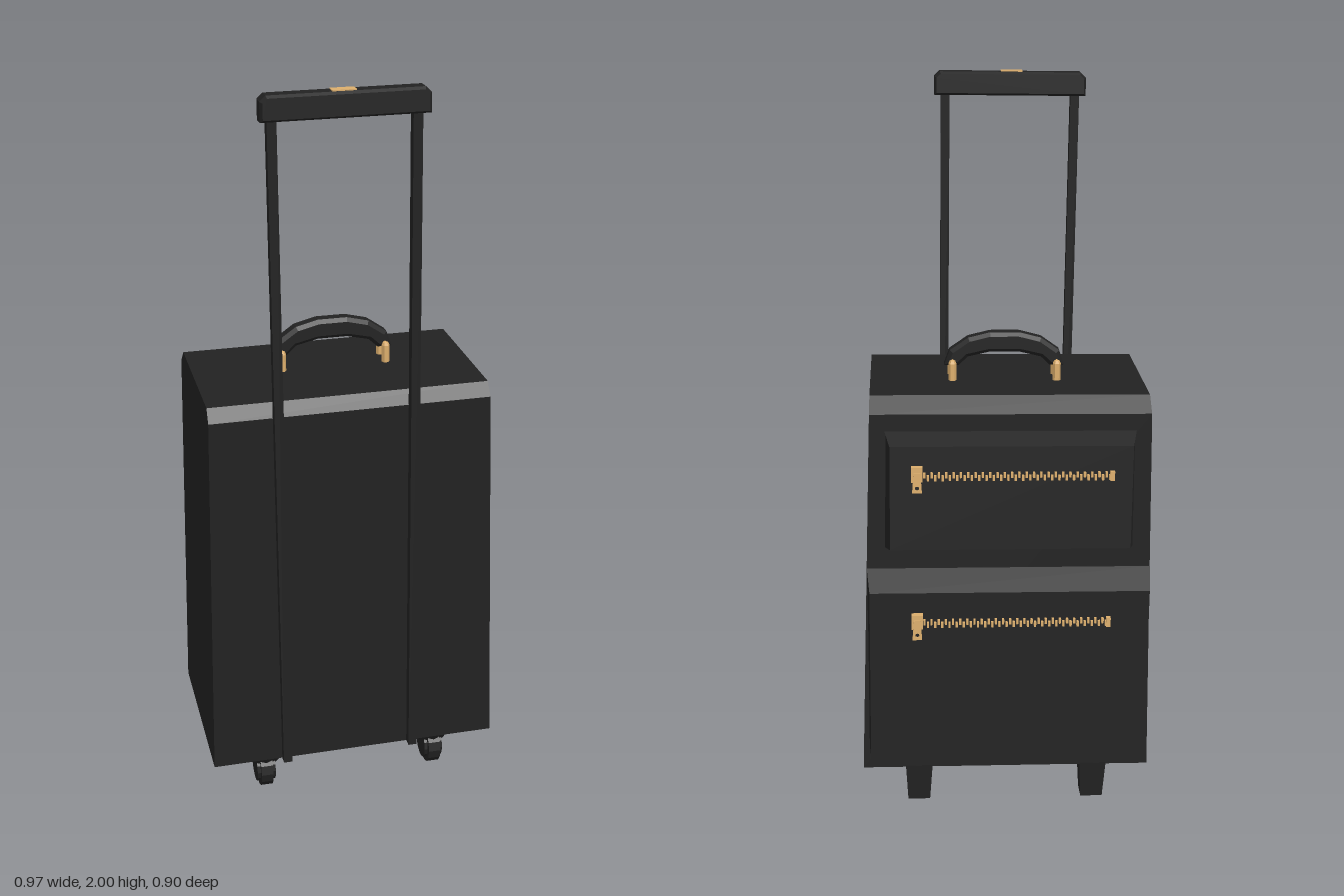
import * as THREE from 'three';

const black = new THREE.MeshStandardMaterial({ color: 0x222222, flatShading: true });
const gold = new THREE.MeshStandardMaterial({ color: 0xdcae6c, flatShading: true });

function add(parent, name, geometry, material, x = 0, y = 0, z = 0) {
  const mesh = new THREE.Mesh(geometry, material);
  mesh.name = name;
  mesh.position.set(x, y, z);
  parent.add(mesh);
  return mesh;
}

// Extrudes a side profile of [z, y] points across x; widthAt(y, z) scales the width.
function sideExtrude(points, width, widthAt) {
  const shape = new THREE.Shape(points.map(([z, y]) => new THREE.Vector2(-z, y)));
  const geo = new THREE.ExtrudeGeometry(shape, { depth: width, bevelEnabled: false });
  geo.translate(0, 0, -width / 2);
  geo.rotateY(Math.PI / 2);
  const p = geo.attributes.position;
  for (let i = 0; i < p.count; i++) {
    p.setX(i, p.getX(i) * widthAt(p.getY(i), p.getZ(i)));
  }
  geo.computeVertexNormals();
  return geo;
}

// Toothed zip with end stops and a hanging puller
function zipper(parent, name, y, z) {
  const zip = new THREE.Group();
  zip.name = name;
  zip.position.set(0, y, z);
  zip.rotation.x = 0.03;
  parent.add(zip);
  const tooth = new THREE.BoxGeometry(0.006, 0.014, 0.012);
  const count = 54;
  for (let i = 0; i < count; i++) {
    const x = -0.26 + (0.51 * i) / (count - 1);
    add(zip, 'zipTooth', tooth, gold, x, i % 2 ? 0.004 : -0.004, 0);
  }
  add(zip, 'zipStop', new THREE.BoxGeometry(0.012, 0.026, 0.016), gold, -0.266, 0, 0);
  add(zip, 'zipSlider', new THREE.BoxGeometry(0.03, 0.04, 0.02), gold, 0.25, 0.008, -0.004);
  const tab = new THREE.Shape();
  tab.moveTo(-0.009, 0.02).lineTo(-0.013, -0.035).lineTo(0.013, -0.035).lineTo(0.009, 0.02);
  const hole = new THREE.Path();
  hole.absellipse(0, -0.022, 0.006, 0.006, 0, Math.PI * 2, true);
  tab.holes.push(hole);
  const tabGeo = new THREE.ExtrudeGeometry(tab, { depth: 0.006, bevelEnabled: false, curveSegments: 4 });
  add(zip, 'zipPuller', tabGeo, gold, 0.25, -0.005, -0.02);
}

export function createModel() {
  const group = new THREE.Group();
  group.name = 'rollingSuitcase';
  const suitcase = new THREE.Group();
  suitcase.name = 'suitcase';
  suitcase.rotation.set(0.018, 0.53, 0.0156, 'YXZ');
  group.add(suitcase);

  // Main case: tapered toward the top, chamfered front and back top edges
  const body = [[0.265, 0.13], [0.265, 1.165], [0.24, 1.2], [-0.175, 1.2], [-0.22, 1.16], [-0.243, 0.13]];
  add(suitcase, 'caseBody', sideExtrude(body, 0.8, (y) => 1 - 0.065 * (y - 0.13) / 1.07), black);

  // Back pockets
  const lower = [[-0.2, 0.2], [-0.2, 0.73], [-0.235, 0.73], [-0.302, 0.685], [-0.317, 0.2]];
  add(suitcase, 'lowerPocket', sideExtrude(lower, 0.77, (y, z) => (z < -0.29 ? 0.98 : 1)), black);
  const upper = [[-0.2, 0.79], [-0.2, 1.115], [-0.225, 1.115], [-0.279, 1.09], [-0.291, 0.805], [-0.232, 0.79]];
  add(suitcase, 'upperPocket', sideExtrude(upper, 0.67, (y, z) => (z < -0.26 ? 0.96 : 1)), black);
  zipper(suitcase, 'lowerZip', 0.6, -0.309);
  zipper(suitcase, 'upperZip', 1.01, -0.286);

  // Telescopic pull handle
  const pole = new THREE.BoxGeometry(0.024, 1.81, 0.026);
  for (const x of [-0.196, 0.164]) add(suitcase, 'handlePole', pole, black, x, 1.035, 0.277);
  const grip = new THREE.Shape();
  grip.moveTo(-0.21, 1.935).lineTo(0.21, 1.935).lineTo(0.21, 1.985).lineTo(0.195, 1.999)
    .lineTo(-0.195, 1.999).lineTo(-0.21, 1.985);
  const gripGeo = new THREE.ExtrudeGeometry(grip, {
    depth: 0.036, bevelThickness: 0.009, bevelSize: 0.006, bevelOffset: -0.006, bevelSegments: 1,
  });
  add(suitcase, 'pullGrip', gripGeo, black, -0.016, 0, 0.264);
  add(suitcase, 'gripButton', new THREE.BoxGeometry(0.06, 0.008, 0.03), gold, -0.02, 1.998, 0.284);

  // Carry handle on top
  const carry = new THREE.Shape();
  carry.moveTo(-0.165, 1.238).lineTo(-0.15, 1.28).lineTo(-0.1, 1.315).lineTo(-0.04, 1.33)
    .lineTo(0.04, 1.33).lineTo(0.1, 1.315).lineTo(0.15, 1.28).lineTo(0.165, 1.238)
    .lineTo(0.125, 1.238).lineTo(0.1, 1.262).lineTo(0.04, 1.276)
    .lineTo(-0.04, 1.276).lineTo(-0.1, 1.262).lineTo(-0.125, 1.238);
  const carryGeo = new THREE.ExtrudeGeometry(carry, {
    depth: 0.028, bevelThickness: 0.01, bevelSize: 0.01, bevelOffset: -0.01, bevelSegments: 1,
  });
  add(suitcase, 'carryHandle', carryGeo, black, 0.007, 0, -0.013);
  const post = new THREE.CapsuleGeometry(0.011, 0.05, 2, 6);
  for (const x of [-0.136, 0.15]) {
    for (const z of [-0.03, 0.032]) add(suitcase, 'carryHandlePost', post, gold, x, 1.222, z);
    const pin = add(suitcase, 'carryHandlePin', new THREE.CylinderGeometry(0.007, 0.007, 0.06, 6), gold, x, 1.25, 0.001);
    pin.rotation.x = Math.PI / 2;
  }

  // Swivel casters at the front, fixed feet at the back
  const tread = new THREE.CylinderGeometry(0.059, 0.059, 0.034, 14);
  const hub = new THREE.CylinderGeometry(0.045, 0.045, 0.052, 14);
  const mount = new THREE.CylinderGeometry(0.075, 0.045, 0.045, 8);
  const foot = new THREE.BoxGeometry(0.075, 0.11, 0.075);
  const fp = foot.attributes.position;
  for (let i = 0; i < fp.count; i++) {
    if (fp.getY(i) < 0) {
      fp.setX(i, fp.getX(i) * 0.82);
      fp.setZ(i, fp.getZ(i) * 0.8);
    }
  }
  foot.computeVertexNormals();
  for (const x of [-0.248, 0.242]) {
    add(suitcase, 'casterMount', mount, black, x, 0.11, 0.185);
    add(suitcase, 'casterWheel', tread, black, x, 0.067, 0.19).rotation.z = Math.PI / 2;
    add(suitcase, 'casterHub', hub, black, x, 0.067, 0.19).rotation.z = Math.PI / 2;
    add(suitcase, 'backFoot', foot, black, x + 0.002, 0.079, -0.206);
  }
  return group;
}
